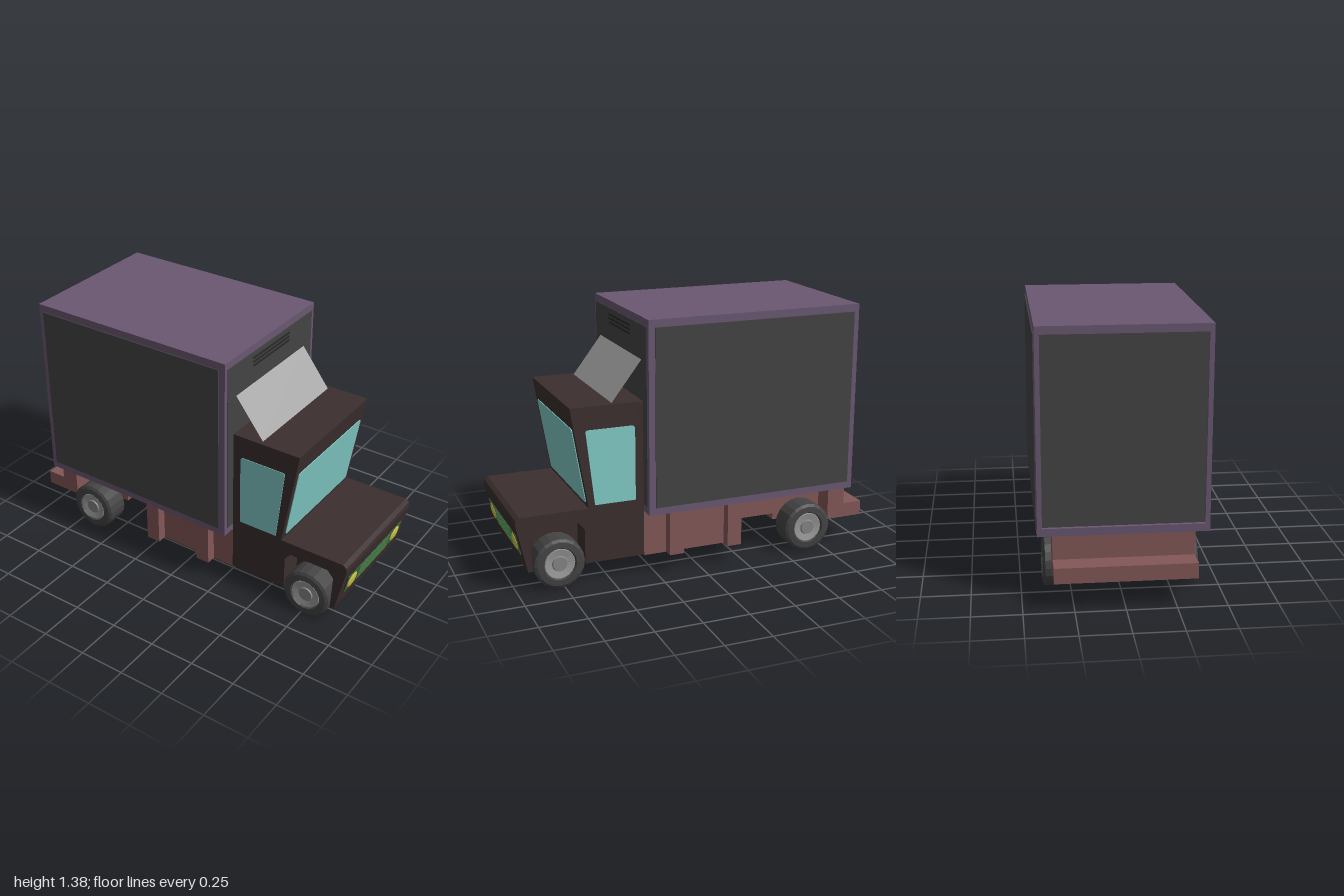
import * as THREE from 'three';

const mat = (color, side = THREE.FrontSide) =>
  new THREE.MeshStandardMaterial({ color, side, flatShading: true });
const M = {
  purple: mat(0x6a5872), panel: mat(0x444444), slot: mat(0x2a2a2a), cab: mat(0x3b2f2e),
  chassis: mat(0x845858), glass: mat(0x82cdc8), green: mat(0x3f7040), grille: mat(0x2b2926),
  lamp: mat(0xd2c84a), tyre: mat(0x444444), rim: mat(0x999999), hub: mat(0x858585),
  deflector: mat(0xa8a8a8, THREE.DoubleSide),
};

export function createModel() {
  const root = new THREE.Group();

  function add(name, geo, material, parent = root) {
    const m = new THREE.Mesh(geo, material);
    m.name = name;
    parent.add(m);
    return m;
  }
  // Box from its extents on each axis
  function box(name, material, x0, x1, y0, y1, z0, z1, parent = root) {
    const m = add(name, new THREE.BoxGeometry(x1 - x0, y1 - y0, z1 - z0), material, parent);
    m.position.set((x0 + x1) / 2, (y0 + y1) / 2, (z0 + z1) / 2);
    return m;
  }
  // Side profile (x, y) pulled from z0 to z1
  function slab(name, material, pts, z0, z1) {
    const shape = new THREE.Shape(pts.map(p => new THREE.Vector2(...p)));
    const geo = new THREE.ExtrudeGeometry(shape, { depth: z1 - z0, bevelEnabled: false });
    add(name, geo.translate(0, 0, z0), material);
  }
  function roundedRect(w, h, r) {
    const s = new THREE.Shape(), a = w / 2, b = h / 2;
    s.absarc(a - r, b - r, r, 0, Math.PI / 2);
    s.absarc(-a + r, b - r, r, Math.PI / 2, Math.PI);
    s.absarc(-a + r, -b + r, r, Math.PI, Math.PI * 1.5);
    s.absarc(a - r, -b + r, r, Math.PI * 1.5, Math.PI * 2);
    return s;
  }
  // Group on a slope facing +x: local x runs across, y up the slope, z outward
  function slopeGroup(name, x, y, lean) {
    const g = new THREE.Group();
    g.name = name;
    g.position.set(x, y, 0);
    g.rotation.set(0, Math.PI / 2, -lean, 'ZYX');
    root.add(g);
    return g;
  }

  // Cargo box with a raised rear frame
  box('cargoBox', M.purple, -0.865, 0.305, 0.35, 1.38, -0.422, 0.422);
  box('rearFrameTop', M.purple, -0.89, -0.865, 1.34, 1.38, -0.422, 0.422);
  box('rearFrameBottom', M.purple, -0.89, -0.865, 0.35, 0.39, -0.422, 0.422);
  for (const s of [-1, 1]) {
    const z = s * 0.41;
    box('rearFramePost', M.purple, -0.89, -0.865, 0.39, 1.34, z - 0.012, z + 0.012);
    box('cargoSidePanel', M.panel, -0.86, 0.27, 0.39, 1.34, s * 0.424 - 0.004, s * 0.424 + 0.004);
  }
  box('cargoRearPanel', M.panel, -0.872, -0.86, 0.39, 1.34, -0.398, 0.398);
  box('cargoFrontPanel', M.panel, 0.3, 0.308, 0.39, 1.34, -0.4, 0.4);
  for (let i = 0; i < 3; i++)
    box('ventSlot', M.slot, 0.305, 0.311, 1.257 + i * 0.022, 1.269 + i * 0.022, -0.17, 0.17);

  // Cab: solid core plus outer sides cut out for the front wheels
  const upper = [[0.94, 0.11], [0.998, 0.37], [0.996, 0.395], [0.975, 0.41],
    [0.61, 0.41], [0.7, 0.95], [0.31, 0.95], [0.31, 0.11]];
  const arch = [[0.635, 0.11], [0.635, 0.3], [0.67, 0.34], [0.89, 0.34], [0.925, 0.3], [0.915, 0.11]];
  slab('cabCore', M.cab, upper, -0.22, 0.22);
  for (const s of [-1, 1]) {
    slab('cabSide', M.cab, [...upper, ...arch], s > 0 ? 0.22 : -0.35, s > 0 ? 0.35 : -0.22);
    slab('sideWindow', M.glass, [[0.355, 0.425], [0.577, 0.425], [0.62, 0.82], [0.612, 0.828], [0.365, 0.828], [0.355, 0.818]],
      s * 0.35 - 0.003, s * 0.35 + 0.003);
  }

  // Windscreen
  const screen = slopeGroup('windscreen', 0.647, 0.632, Math.atan(0.09 / 0.54));
  add('windscreenGlass', new THREE.ExtrudeGeometry(roundedRect(0.64, 0.406, 0.015),
    { depth: 0.004, bevelEnabled: false, curveSegments: 4 }), M.glass, screen);

  // Grille and headlamps on the sloping nose
  const nose = slopeGroup('grille', 0.971, 0.245, Math.atan(0.058 / 0.26));
  box('grilleBacking', M.grille, -0.295, 0.295, -0.056, 0.056, -0.005, 0.002, nose);
  for (let i = 0; i < 7; i++) {
    const y = -0.051 + i * 0.017;
    box('grilleBar', M.green, -0.175, 0.175, y - 0.003, y + 0.003, 0, 0.006, nose);
  }
  for (const s of [-1, 1]) {
    const x = s * 0.237;
    box('lampSurround', M.green, x - 0.058, x + 0.058, -0.056, 0.056, 0, 0.004, nose);
    box('grilleEnd', M.green, s * 0.173 - 0.003, s * 0.173 + 0.003, -0.056, 0.056, 0, 0.006, nose);
    const lamp = add('headlamp', new THREE.SphereGeometry(0.047, 20, 12),
      new THREE.MeshStandardMaterial({ color: 0xd2c84a }), nose);
    lamp.position.set(x, 0, 0.004);
    lamp.scale.z = 0.2;
  }

  // Wind deflector leaning from the cab roof to the cargo box
  const dx = 0.165, dy = 0.215;
  const deflector = add('windDeflector', new THREE.PlaneGeometry(0.65, Math.hypot(dx, dy)), M.deflector);
  deflector.position.set(0.305 + dx / 2, 0.95 + dy / 2, 0);
  deflector.rotation.set(0, Math.PI / 2, Math.atan(dx / dy), 'ZYX');

  // Chassis
  box('rearBumper', M.chassis, -1, -0.89, 0.15, 0.23, -0.35, 0.35);
  box('rearChassis', M.chassis, -0.89, -0.79, 0.15, 0.35, -0.35, 0.35);
  box('axleHousing', M.chassis, -0.79, -0.5, 0.15, 0.35, -0.24, 0.24);
  box('chassisBeam', M.chassis, -0.5, -0.23, 0.185, 0.35, -0.24, 0.24);
  box('midChassis', M.chassis, -0.23, 0.31, 0.105, 0.35, -0.35, 0.35);
  for (const s of [-1, 1]) {
    for (const x of [-0.23, 0.105])
      box('sideRib', M.chassis, x, x + 0.08, 0.105, 0.348, s * 0.375 - 0.028, s * 0.375 + 0.028);
    box('wheelArchTop', M.chassis, -0.79, -0.5, 0.335, 0.35, s * 0.295 - 0.055, s * 0.295 + 0.055);
  }

  // Wheels: chamfered tyre with a recessed rim and hub, outer face at local +y
  const lathe = pts => new THREE.LatheGeometry(pts.map(p => new THREE.Vector2(...p)), 20);
  function wheel(name, x, z, half, s) {
    const g = new THREE.Group();
    g.name = name;
    g.position.set(x, 0.135, s * z);
    g.rotation.x = s * Math.PI / 2;
    root.add(g);
    add('tyre', lathe([[0, -half], [0.12, -half], [0.135, -half + 0.012], [0.135, half - 0.012],
      [0.12, half - 0.003], [0.088, half], [0.082, half - 0.012]]), M.tyre, g);
    add('rim', lathe([[0.084, half - 0.014], [0.08, half - 0.006], [0.045, half - 0.012], [0, half - 0.012]]), M.rim, g);
    add('hub', lathe([[0.042, half - 0.014], [0.038, half - 0.004], [0, half - 0.004]]), M.hub, g);
  }
  for (const s of [-1, 1]) {
    wheel('frontWheel', 0.775, 0.305, 0.065, s);
    wheel('rearWheel', -0.645, 0.322, 0.07, s);
  }
  return root;
}
